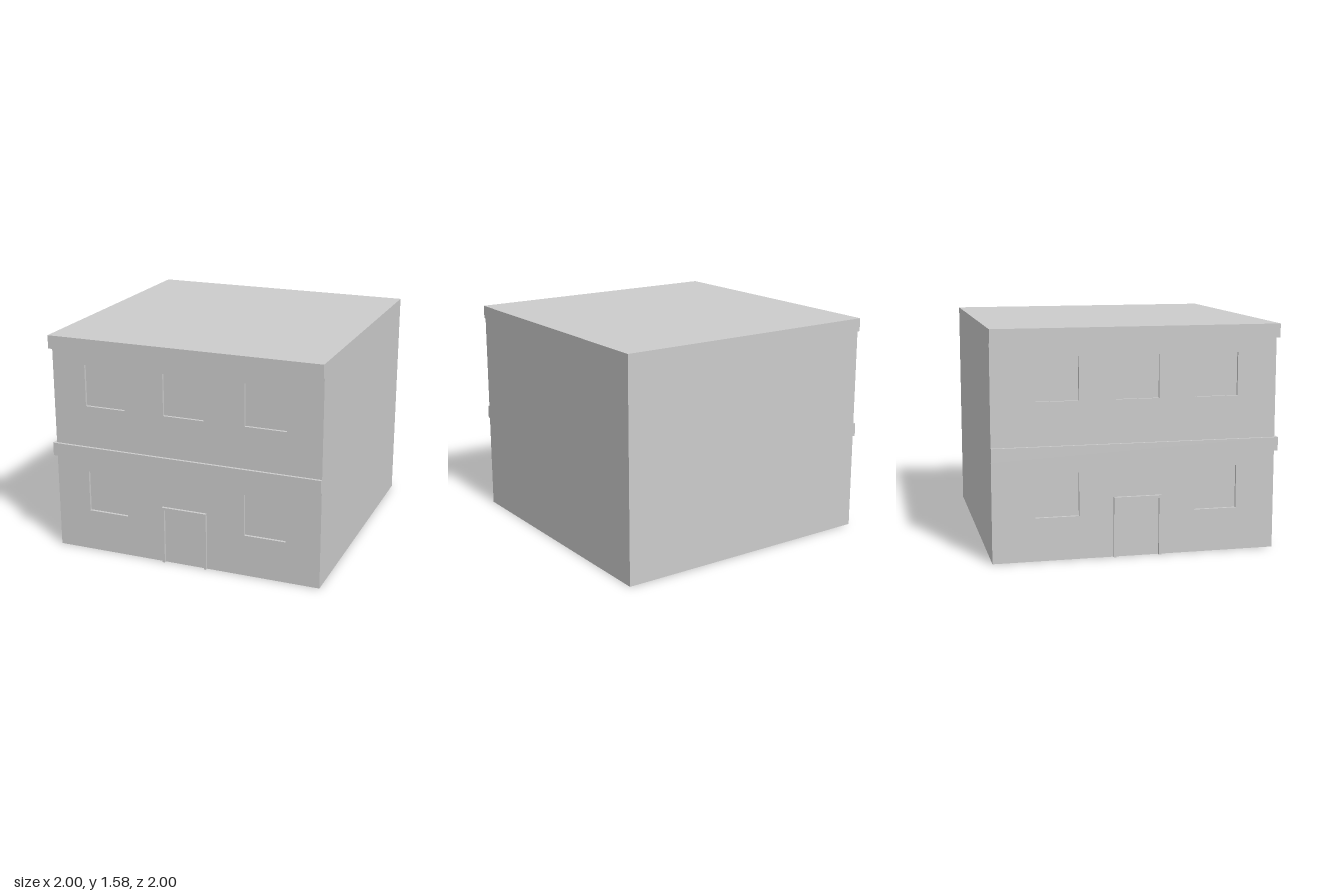
import * as THREE from 'three';

const TOP = 1.58, CORNICE = 1.485, BAND_TOP = 0.79, BAND_LOW = 0.695;
const WALL = 0.98, OUT = 1, RECESS = 0.96; // depths of wall, trim and window panes
const material = new THREE.MeshStandardMaterial({ color: 0xcccccc, side: THREE.DoubleSide, flatShading: true });

const outline = (pts) => pts.map(([x, y]) => new THREE.Vector2(x, y));
const rect = (x0, y0, x1, y1) => [[x0, y0], [x1, y0], [x1, y1], [x0, y1]];

function add(group, name, geometry, z = 0) {
  const mesh = new THREE.Mesh(geometry, material);
  mesh.name = name;
  mesh.position.z = z;
  group.add(mesh);
}

// flat sheet at depth z, with optional holes
function sheet(group, name, pts, z, holes = []) {
  const shape = new THREE.Shape(outline(pts));
  shape.holes = holes.map((h) => new THREE.Path(outline(h)));
  add(group, name, new THREE.ShapeGeometry(shape), z);
}

// strip that follows a path in x, y and spans depth z0 to z1
function ribbon(group, name, path, z0, z1) {
  const pos = [];
  for (let i = 0; i + 1 < path.length; i++) {
    const [a, b] = [path[i], path[i + 1]];
    pos.push(...a, z0, ...b, z0, ...b, z1, ...a, z0, ...b, z1, ...a, z1);
  }
  const geometry = new THREE.BufferGeometry();
  geometry.setAttribute('position', new THREE.Float32BufferAttribute(pos, 3));
  geometry.computeVertexNormals();
  add(group, name, geometry);
}

// decorated wall from x0 to x1, openings centred on c
function facade(name, x0, x1, c, spacing) {
  const g = new THREE.Group();
  g.name = name;
  const windowAt = (i, y) => rect(c + i * spacing - 0.15, y, c + i * spacing + 0.15, y + 0.3);
  const lower = [-1, 1].map((i) => windowAt(i, 0.3));
  const upper = [-1, 0, 1].map((i) => windowAt(i, 1.09));
  const arch = (half, h) => [[c - half, 0], [c - half, h], [c + half, h], [c + half, 0]];
  const outer = arch(0.167, 0.42), inner = arch(0.15, 0.4);

  // walls of the two storeys
  sheet(g, 'lowerWall', [[x0, 0], ...outer, [x1, 0], [x1, BAND_LOW], [x0, BAND_LOW]], WALL, lower);
  sheet(g, 'upperWall', rect(x0, BAND_TOP, x1, CORNICE), WALL, upper);

  // recessed windows
  for (const w of [...lower, ...upper]) {
    ribbon(g, 'windowReveal', [...w, w[0]], RECESS, WALL);
    sheet(g, 'windowPane', w, RECESS);
  }

  // door with raised frame
  ribbon(g, 'doorFrameOuterEdge', outer, WALL, OUT);
  sheet(g, 'doorFrame', [...outer, ...[...inner].reverse()], OUT);
  ribbon(g, 'doorFrameInnerEdge', inner, WALL, OUT);
  sheet(g, 'door', inner, WALL);

  // storey band and cornice
  sheet(g, 'storeyBand', rect(-1, BAND_LOW, 1, BAND_TOP), OUT);
  sheet(g, 'cornice', rect(-1, CORNICE, 1, TOP), OUT);
  for (const y of [BAND_LOW, BAND_TOP, CORNICE]) ribbon(g, 'trimLedge', [[-1, y], [1, y]], WALL, OUT);
  return g;
}

// plain wall whose edge on side s follows the trim profile
function plainWall(name, s) {
  const g = new THREE.Group();
  g.name = name;
  sheet(g, name + 'Sheet', [
    [-s, 0], [s * WALL, 0], [s * WALL, BAND_LOW], [s, BAND_LOW], [s, BAND_TOP],
    [s * WALL, BAND_TOP], [s * WALL, CORNICE], [s, CORNICE], [s, TOP], [-s, TOP],
  ], -1);
  return g;
}

export function createModel() {
  const model = new THREE.Group();
  model.name = 'building';

  const front = facade('frontFacade', -WALL, 1, 0.01, 0.593);
  const side = facade('rightFacade', -1, WALL, 0, 0.555);
  const back = plainWall('backWall', -1);
  const left = plainWall('leftWall', 1);
  side.rotation.y = left.rotation.y = -Math.PI / 2;
  model.add(front, side, back, left);

  // flat roof
  const roof = new THREE.PlaneGeometry(2, 2).rotateX(-Math.PI / 2).translate(0, TOP, 0);
  add(model, 'roof', roof);
  return model;
}
